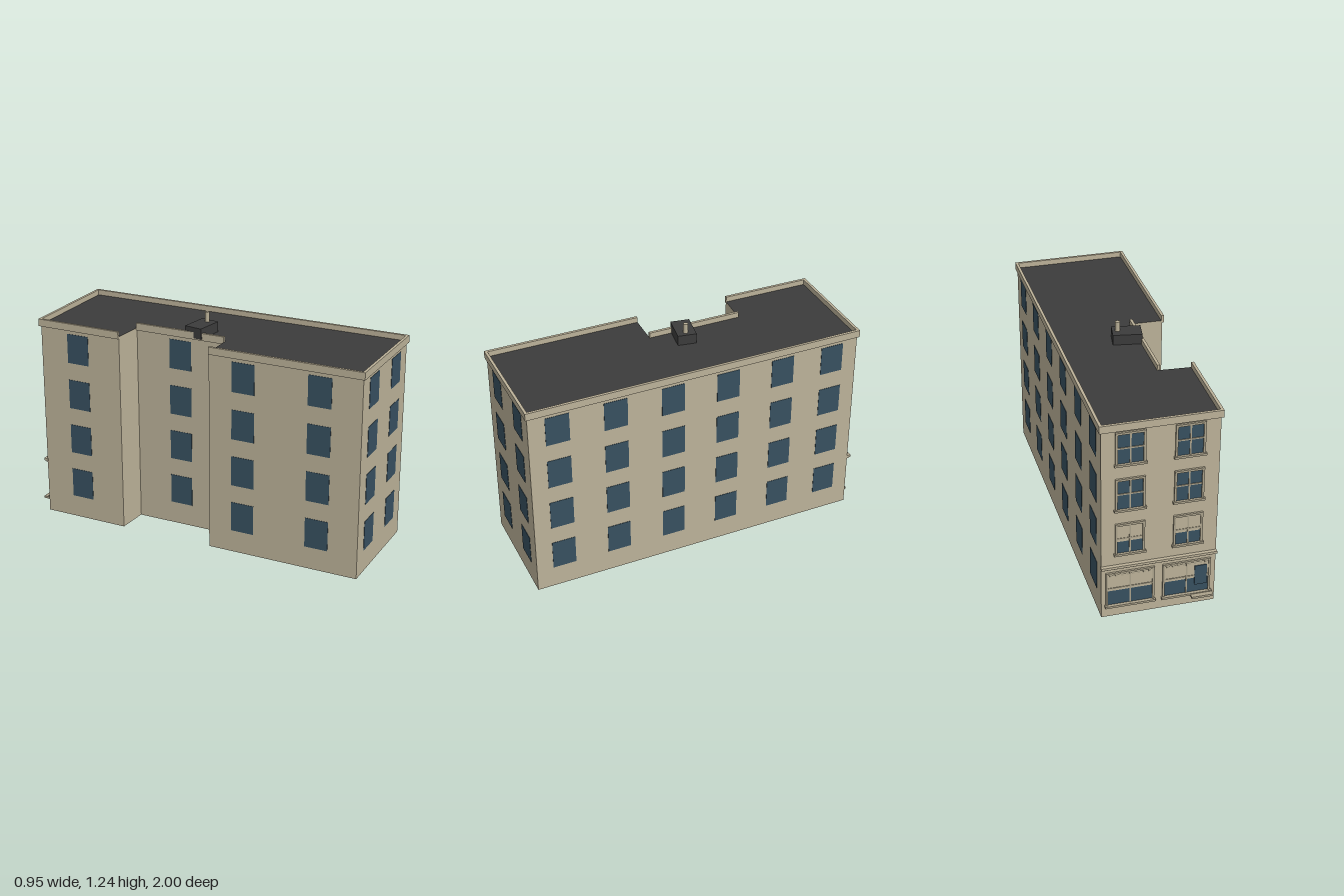
import * as THREE from 'three';

const mat = (name, color) => Object.assign(new THREE.MeshStandardMaterial({ color }), { name });

export function createModel() {
  const wallMat = mat('stone wall', 0xbcb299);
  const trimMat = mat('window trim', 0xaba28b);
  const glassMat = mat('window glass', 0x375060);
  const roofMat = mat('dark roof', 0x3c3c3c);

  const model = new THREE.Group();
  model.name = 'apartmentBuilding';
  const roofY = 1.128;

  // Footprint corners as [x, z]
  const D = [-0.158, 0.99], C = [0.46, 0.889], B = [0.139, -0.977], A = [-0.462, -0.88];
  const H = [-0.385, -0.393], G = [-0.208, -0.41], F = [-0.121, 0.114], E = [-0.298, 0.139];

  // Main block: dark caps, stone sides
  const shape = new THREE.Shape([D, C, B, A, H, G, F, E].map(([x, z]) => new THREE.Vector2(x, -z)));
  const bodyGeo = new THREE.ExtrudeGeometry(shape, { depth: roofY, bevelEnabled: false });
  bodyGeo.rotateX(-Math.PI / 2);
  const body = new THREE.Mesh(bodyGeo, [roofMat, wallMat]);
  body.name = 'body';
  model.add(body);

  // Box from x centre, bottom y, size, and the depth range outwards from the wall
  function box(parent, name, material, x, y, w, h, z0, z1) {
    const m = new THREE.Mesh(new THREE.BoxGeometry(w, h, z1 - z0), material);
    m.position.set(x, y + h / 2, (z0 + z1) / 2);
    m.name = name;
    parent.add(m);
    return m;
  }

  // Wall frame: x runs along the wall, z points outwards
  function wall(name, a, b) {
    const dx = b[0] - a[0], dz = b[1] - a[1];
    const g = new THREE.Group();
    g.name = name;
    g.position.set(a[0], 0, a[1]);
    g.rotation.y = Math.atan2(-dz, dx);
    g.userData.length = Math.hypot(dx, dz);
    model.add(g);
    return g;
  }

  const floors = [0.126, 0.394, 0.661, 0.928];
  const winW = 0.131, winH = 0.168, over = 0.01;

  // Parapet strip, lengthened at outer corners
  function parapet(g, startExt, endExt) {
    const L = g.userData.length, w = L + startExt + endExt;
    box(g, 'parapet', wallMat, (L + endExt - startExt) / 2, 1.117, w, 0.041, -0.005, over);
  }

  // Plain walls: [name, from, to, window fractions, parapet end extensions]
  const plain = [
    ['frontWall', D, C, [0.25, 0.752], [over, over]],
    ['leftWall', C, B, [0.084, 0.253, 0.424, 0.592, 0.762, 0.92], [over, over]],
    ['rightRearWall', A, H, [0.47], [over, 0]],
    ['recessWall', G, F, [0.5], [0, 0]],
    ['rightFrontWall', E, D, [0.23, 0.73], [0, over]],
  ];
  for (const [name, a, b, cols, ext] of plain) {
    const g = wall(name, a, b);
    parapet(g, ...ext);
    for (const t of cols)
      for (const y of floors)
        box(g, 'windowPane', glassMat, t * g.userData.length, y, winW, winH, -0.002, 0.002);
  }

  // Decorated rear wall
  const rear = wall('rearFacade', B, A);
  const L = rear.userData.length;
  parapet(rear, over, over);
  box(rear, 'beltCourse', wallMat, L / 2, 0.308, L + 0.006, 0.014, -0.004, 0.02);
  box(rear, 'beltMoulding', trimMat, L / 2, 0.3, L, 0.008, -0.004, 0.01);

  // Surround of four bars plus projecting sill
  function surround(x, y, w, h, t, sillDepth) {
    const g = new THREE.Group();
    g.name = 'windowSurround';
    rear.add(g);
    for (const s of [-1, 1]) box(g, 'jamb', trimMat, x + s * (w + t) / 2, y, t, h, 0, 0.009);
    box(g, 'head', trimMat, x, y + h, w + 2 * t, t, 0, 0.011);
    box(g, 'sill', trimMat, x, y - 0.012, w + 2 * t + 0.012, 0.012, 0, sillDepth);
    return g;
  }

  // Upper sash windows; the lowest row has drawn blinds
  for (const t of [0.245, 0.745]) {
    floors.slice(1).forEach((y, row) => {
      const x = t * L;
      box(rear, 'sashGlass', glassMat, x, y, winW, winH, -0.002, 0.002);
      const g = surround(x, y, winW, winH, 0.012, 0.016);
      box(g, 'mullion', trimMat, x, y, 0.008, winH, 0, 0.006);
      box(g, 'meetingRail', trimMat, x, y + winH * 0.5, winW, 0.008, 0, 0.006);
      if (row === 0) box(g, 'blind', wallMat, x, y + winH * 0.42, winW, winH * 0.58, 0, 0.004);
    });
  }

  // Ground floor display windows
  for (const t of [0.25, 0.745]) {
    const x = t * L, w = 0.235, y = 0.075, h = 0.192;
    box(rear, 'displayGlass', glassMat, x, y, w, h, -0.002, 0.002);
    const g = surround(x, y, w, h, 0.011, 0.02);
    box(g, 'displayBlind', wallMat, x, y + 0.088, w, h - 0.088, 0, 0.004);
    box(g, 'mullion', trimMat, x, y, 0.007, h, 0, 0.007);
    box(g, 'transom', trimMat, x, y + 0.1, w, 0.007, 0, 0.007);
    for (let i = 0; i < 8; i++)
      box(g, 'valanceTooth', trimMat, x - w / 2 + (i + 0.5) * w / 8, y + h - 0.012, 0.012, 0.012, 0, 0.009);
  }
  // Serving hatch with its ledge
  box(rear, 'hatchPane', glassMat, 0.87 * L, 0.12, 0.066, 0.12, 0.001, 0.008);
  box(rear, 'hatchLedge', trimMat, 0.875 * L, 0.058, 0.118, 0.012, 0, 0.046);

  // Rooftop plant box and flue
  const plant = new THREE.Mesh(new THREE.BoxGeometry(0.157, 0.06, 0.104), roofMat);
  plant.position.set(-0.082, 1.155, -0.065);
  plant.name = 'rooftopBox';
  const flue = new THREE.Mesh(new THREE.CylinderGeometry(0.013, 0.013, 0.06, 8), wallMat);
  flue.position.set(-0.033, 1.21, -0.063);
  flue.name = 'flue';
  model.add(plant, flue);

  return model;
}
